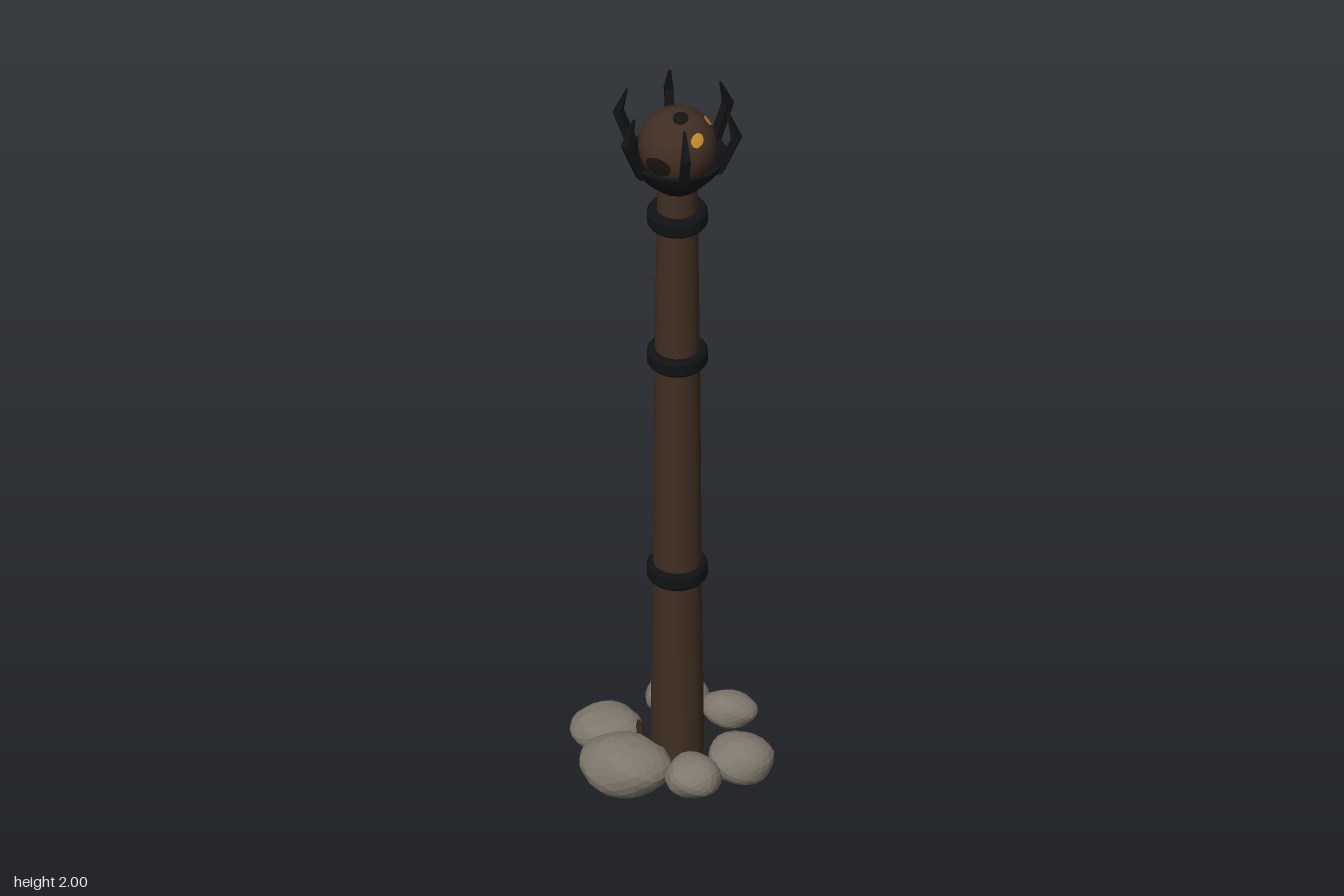
import * as THREE from 'three';

const material = (name, color, extra = {}) => {
  const m = new THREE.MeshStandardMaterial({ color, ...extra });
  m.name = name;
  return m;
};

export function createModel() {
  const wood = material('dark wood', 0x402e22);
  const iron = material('black iron', 0x111213, { flatShading: true });
  const stone = material('grey stone', 0x7f776c, { flatShading: true });
  const soil = material('brown stain', 0x402e22, { flatShading: true });
  const gold = material('ember gold', 0xc98d2c);
  const soot = material('soot', 0x17130f);

  const model = new THREE.Group();
  model.name = 'torchPost';
  const post = new THREE.Group();
  post.name = 'post';
  post.position.z = -0.007;
  model.add(post);

  const add = (parent, name, geometry, mat, x = 0, y = 0, z = 0) => {
    const mesh = new THREE.Mesh(geometry, mat);
    mesh.name = name;
    mesh.position.set(x, y, z);
    parent.add(mesh);
    return mesh;
  };
  const points = (list) => list.map(([x, y]) => new THREE.Vector2(x, y));

  // Tapered pole with a closed foot
  add(post, 'pole', new THREE.LatheGeometry(points([
    [0.067, 0.045], [0.061, 0.6], [0.057, 1.2], [0.05, 1.76],
  ]), 20), wood);
  add(post, 'poleFoot', new THREE.CircleGeometry(0.067, 20).rotateX(Math.PI / 2), wood, 0, 0.045, 0);

  // Bevelled iron bands
  for (const y of [0.59, 1.235, 1.655]) {
    add(post, 'band', new THREE.LatheGeometry(points([
      [0.048, -0.023], [0.07, -0.023], [0.076, -0.015],
      [0.076, 0.015], [0.07, 0.023], [0.048, 0.023],
    ]), 20), iron, 0, y, 0);
  }

  // Iron bowl, outside and inside
  add(post, 'bowl', new THREE.LatheGeometry(points([
    [0, 1.74], [0.045, 1.74], [0.085, 1.778], [0.114, 1.815], [0.128, 1.842],
    [0.114, 1.842], [0.098, 1.81], [0.06, 1.78], [0, 1.775],
  ]), 12), iron);

  // Six bent claws that narrow to a point
  const claw = new THREE.Shape(points([
    [0.108, 1.815], [0.122, 1.815], [0.17, 1.93], [0.138, 2.0], [0.134, 2.0], [0.148, 1.93], [0.11, 1.842],
  ]));
  for (let i = 0; i < 6; i++) {
    const geometry = new THREE.ExtrudeGeometry(claw, { depth: 0.022, bevelEnabled: false });
    geometry.translate(0, 0, -0.011);
    const p = geometry.attributes.position;
    for (let k = 0; k < p.count; k++) {
      const taper = p.getY(k) > 1.95 ? 0.3 : 1;
      p.setZ(k, p.getZ(k) * taper);
    }
    geometry.computeVertexNormals();
    add(post, 'claw', geometry, iron).rotation.y = (i * Math.PI) / 3;
  }

  // Ball held in the bowl
  const ball = new THREE.Group();
  ball.name = 'ball';
  ball.position.y = 1.87;
  post.add(ball);
  add(ball, 'ballCore', new THREE.SphereGeometry(0.098, 28, 20), wood);

  // Glowing and sooty spots: thin caps lying on the ball
  const up = new THREE.Vector3(0, 1, 0);
  const spot = (name, mat, x, y, z, angle, stretch = 1) => {
    const cap = new THREE.SphereGeometry(0.0995, 14, 4, 0, Math.PI * 2, 0, angle);
    const p = cap.attributes.position;
    const v = new THREE.Vector3();
    for (let k = 0; k < p.count; k++) {
      v.fromBufferAttribute(p, k);
      v.x *= stretch;
      v.setLength(0.0995);
      p.setXYZ(k, v.x, v.y, v.z);
    }
    cap.computeVertexNormals();
    add(ball, name, cap, mat).quaternion.setFromUnitVectors(up, new THREE.Vector3(x, y, z).normalize());
  };
  spot('emberSpot', gold, -0.015, 0.06, -0.077, 0.21);
  spot('emberSpot', gold, 0.065, 0.062, -0.041, 0.15);
  spot('emberSpot', gold, 0.071, 0.055, 0.041, 0.21, 0.8);
  spot('sootSpot', soot, 0.017, 0.096, 0.019, 0.23, 0.85);
  spot('sootSpot', soot, -0.015, -0.015, 0.096, 0.3, 1.3);

  // Lumpy stones round the foot: centre, half sizes, turn
  const stones = [
    [-0.067, 0.085, -0.17, 0.083, 0.048, 0.08, 0.4],
    [0.075, 0.085, -0.162, 0.071, 0.045, 0.053, 1.9],
    [-0.178, 0.082, 0.022, 0.09, 0.05, 0.084, 2.7],
    [0.18, 0.08, 0.018, 0.086, 0.06, 0.081, 4.1],
    [-0.076, 0.079, 0.152, 0.115, 0.077, 0.093, 5.2],
    [0.1, 0.08, 0.135, 0.071, 0.052, 0.069, 3.3],
  ];
  for (const [x, y, z, rx, ry, rz, seed] of stones) {
    const geometry = new THREE.IcosahedronGeometry(1, 3);
    const p = geometry.attributes.position;
    const v = new THREE.Vector3();
    for (let k = 0; k < p.count; k++) {
      v.fromBufferAttribute(p, k);
      const lump = 1 + 0.05 * Math.sin(2.3 * v.x + seed) * Math.cos(2.9 * v.z - seed)
        + 0.025 * Math.sin(5 * v.y + 4 * v.x + seed * 2) + 0.015 * Math.sin(9 * v.z + 7 * v.x + seed * 3);
      p.setXYZ(k, v.x * rx * lump, v.y * ry * lump, v.z * rz * lump);
    }
    geometry.computeVertexNormals();
    // Faces close to the pole are stained brown
    for (let k = 0; k < p.count; k += 3) {
      const cx = x + (p.getX(k) + p.getX(k + 1) + p.getX(k + 2)) / 3;
      const cz = z + (p.getZ(k) + p.getZ(k + 1) + p.getZ(k + 2)) / 3;
      geometry.addGroup(k, 3, Math.hypot(cx, cz) < 0.105 ? 1 : 0);
    }
    add(model, 'stone', geometry, [stone, soil], x, y, z);
  }

  return model;
}
